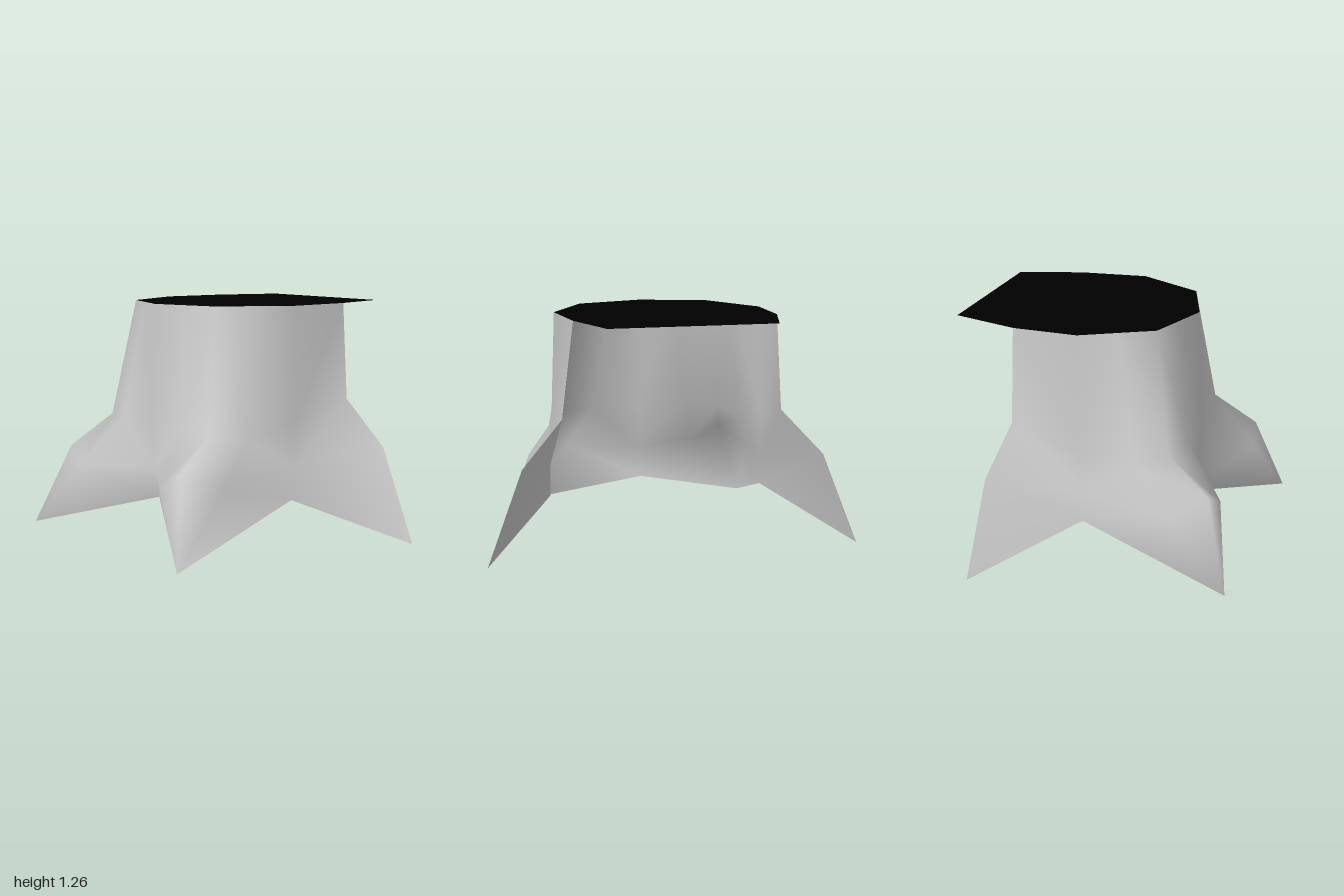
import * as THREE from 'three';

const TOP = 1.26;

// Right-hand half of the bark shell: columns from the open back edge to the front centre,
// each listed from the rim down to the ground edge.
const TIP = [0.71, 0, 0.775];
const HALF = [
  [[0.53, TOP, -0.44], [0.59, 0.75, -0.42], [0.81, 0.51, -0.485], [1, 0.015, -0.525]], // back root
  [[0.57, TOP, -0.06], [0.592, 0.65, -0.05], [0.6, 0.42, -0.04], [0.6, 0.245, -0.03]], // side valley
  [[0.465, TOP, 0.12], [0.565, 0.58, 0.24], [0.655, 0.37, 0.45], TIP], // front root, outer flank
  [[0.37, TOP, 0.3], [0.47, 0.62, 0.4], [0.54, 0.45, 0.63], TIP], // front root, ridge
  [[0.185, TOP, 0.36], [0.28, 0.63, 0.45], [0.39, 0.37, 0.66], TIP], // front root, inner flank
  [[0, TOP, 0.42], [0, 0.63, 0.455], [0, 0.38, 0.43], [0, 0.215, 0.4]], // front valley
];

function barkGeometry() {
  const mirrored = HALF.slice(0, -1).reverse().map(col => col.map(([x, y, z]) => [-x, y, z]));
  mirrored[mirrored.length - 1][0] = [-0.56, TOP, -0.41];
  const columns = [...HALF, ...mirrored];

  // Share equal points so the normals run smoothly over the root tips
  const positions = [], known = new Map();
  const vertex = p => {
    const key = p.join();
    if (!known.has(key)) {
      known.set(key, positions.length / 3);
      positions.push(...p);
    }
    return known.get(key);
  };
  const ids = columns.map(col => col.map(vertex));

  const index = [];
  const face = (a, b, c) => {
    if (a !== b && b !== c && a !== c) index.push(a, b, c);
  };
  const last = ids.length - 2;
  for (let i = 0; i <= last; i++) {
    const left = i > last / 2;
    const flip = ((left ? last - i : i) === 1) !== left;
    for (let r = 0; r < 3; r++) {
      const a = ids[i][r], b = ids[i + 1][r], c = ids[i][r + 1], d = ids[i + 1][r + 1];
      if (flip) {
        face(a, b, c);
        face(b, d, c);
      } else {
        face(a, b, d);
        face(a, d, c);
      }
    }
  }
  const geometry = new THREE.BufferGeometry();
  geometry.setAttribute('position', new THREE.Float32BufferAttribute(positions, 3));
  geometry.setIndex(index);
  geometry.computeVertexNormals();
  return geometry;
}

// Flat cut surface, overhanging the open back
function cutGeometry() {
  const outline = [
    [-0.455, -0.77], [0.42, -0.78], [0.53, -0.44], [0.57, -0.06], [0.37, 0.3],
    [0, 0.42], [-0.37, 0.3], [-0.57, -0.06], [-0.56, -0.41],
  ];
  const shape = new THREE.Shape(outline.map(([x, z]) => new THREE.Vector2(x, -z)));
  return new THREE.ShapeGeometry(shape).rotateX(-Math.PI / 2).translate(0, TOP, 0);
}

export function createModel() {
  const bark = new THREE.MeshStandardMaterial({ color: 0xcccccc, side: THREE.DoubleSide });
  bark.name = 'pale grey bark';
  const cut = new THREE.MeshStandardMaterial({ color: 0x000000, side: THREE.DoubleSide });
  cut.name = 'black cut';

  const group = new THREE.Group();
  group.name = 'treeStump';
  const trunk = new THREE.Mesh(barkGeometry(), bark);
  trunk.name = 'trunkAndRoots';
  const top = new THREE.Mesh(cutGeometry(), cut);
  top.name = 'cutTop';
  group.add(trunk, top);
  return group;
}
